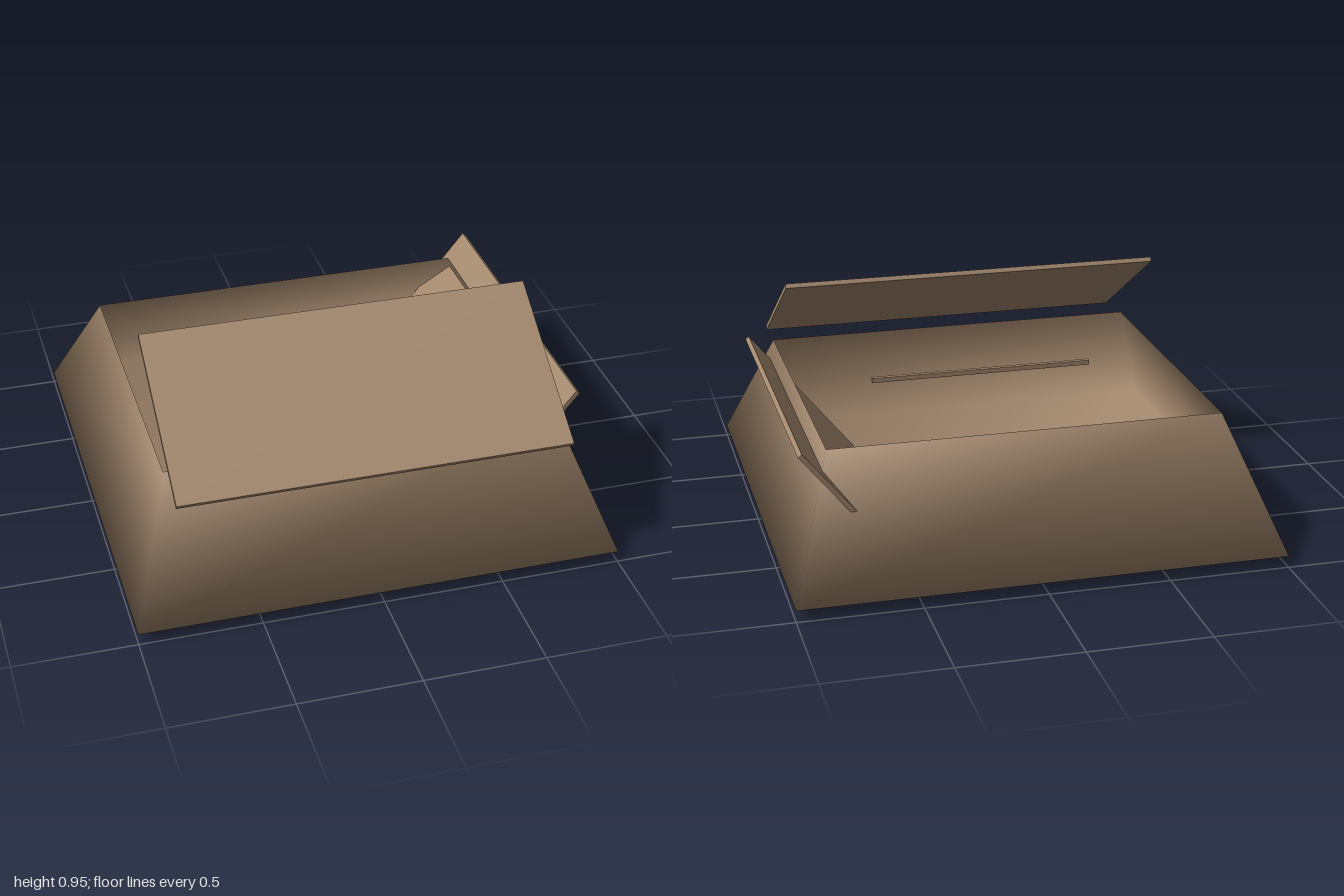
import * as THREE from 'three';

export function createModel() {
  const model = new THREE.Group();
  const cardboard = new THREE.MeshStandardMaterial({ color: 0xa3886d, side: THREE.DoubleSide });
  cardboard.name = 'cardboard brown';

  // Open tray: four sloping walls and a floor, sharing softly shaded corners
  const corners = [[-1, 1], [1, 1], [1, -1], [-1, -1]];
  const points = [];
  for (const [x, z] of corners) points.push(x, 0.05, z);
  for (const [x, z] of corners) points.push(x * 0.812, 0.565, z * 0.675);
  const faces = [0, 2, 1, 0, 3, 2];
  for (let i = 0; i < 4; i++) {
    const j = (i + 1) % 4;
    faces.push(i, j, j + 4, i, j + 4, i + 4);
  }
  const trayShape = new THREE.BufferGeometry();
  trayShape.setAttribute('position', new THREE.Float32BufferAttribute(points, 3));
  trayShape.setIndex(faces);
  trayShape.computeVertexNormals();
  const tray = new THREE.Mesh(trayShape, cardboard);
  tray.name = 'tray';
  model.add(tray);

  // Thin boards
  const board = (name, size, position, rotation = [0, 0, 0]) => {
    const mesh = new THREE.Mesh(new THREE.BoxGeometry(...size), cardboard);
    mesh.name = name;
    mesh.position.set(...position);
    mesh.rotation.set(...rotation);
    model.add(mesh);
  };
  const deg = Math.PI / 180;

  // Front flap, leaning back over the opening
  board('frontFlap', [1.62, 0.02, 0.755], [0, 0.745, 0.578], [31.5 * deg, 0, 0]);
  // Side flap, passing through the left wall and the floor
  board('sideFlap', [0.765, 0.02, 1.43], [0.695, 0.305, -0.095], [0, 0, 51 * deg]);
  // Slim bar across the opening
  board('crossBar', [0.96, 0.02, 0.02], [0, 0.55, 0.09]);

  return model;
}
